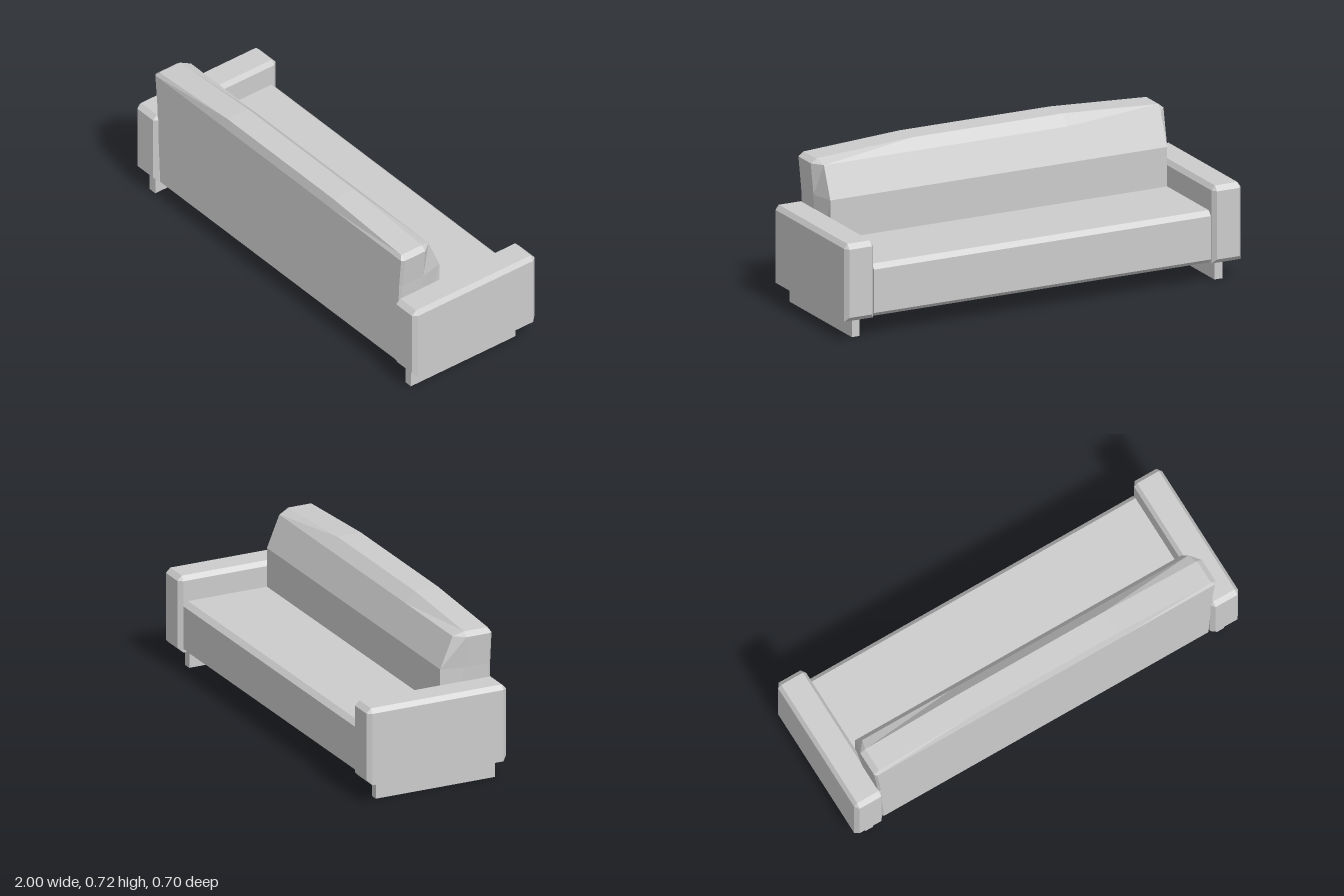
import * as THREE from 'three';
import { ConvexGeometry } from 'three/addons/geometries/ConvexGeometry.js';

const material = new THREE.MeshStandardMaterial({ color: 0xcccccc, flatShading: true });

function addMesh(parent, name, geometry) {
  const mesh = new THREE.Mesh(geometry, material);
  mesh.name = name;
  parent.add(mesh);
  return mesh;
}

// Extrudes a side profile of [z, y] points along x, centred on x = 0
function extrudeAcross(points, width) {
  const shape = new THREE.Shape(points.map(([z, y]) => new THREE.Vector2(-z, y)));
  const geometry = new THREE.ExtrudeGeometry(shape, { depth: width, bevelEnabled: false });
  return geometry.translate(0, 0, -width / 2).rotateY(Math.PI / 2);
}

// Armrest block: chamfered all round, except along the bottom of its long sides
function armGeometry() {
  const hx = 0.0725, hz = 0.35, bottom = 0.095, top = 0.458, c = 0.022, cx = 0.016;
  const points = [];
  for (const sx of [-1, 1]) {
    for (const sz of [-1, 1]) {
      for (const up of [true, false]) {
        const y = up ? top : bottom;
        const yIn = up ? top - c : bottom + c;
        points.push(
          new THREE.Vector3(sx * hx, yIn, sz * (hz - c)),
          new THREE.Vector3(sx * (up ? hx - cx : hx), y, sz * (hz - c)),
          new THREE.Vector3(sx * (hx - cx), yIn, sz * hz)
        );
      }
    }
  }
  return new ConvexGeometry(points);
}

// Backrest: stacked rings that lean back, flare sideways and close in a bowed top
function backrestGeometry() {
  const mid = 0.38;
  const ring = (w, wBack, wFront, zBack, zSide, zFront, height) => [
    [-wBack, zBack], [-mid, zBack], [mid, zBack], [wBack, zBack],
    [w, zSide], [w, 0.2],
    [wFront, zFront], [mid, zFront], [-mid, zFront], [-wFront, zFront],
    [-w, 0.2], [-w, zSide]
  ].map(([x, z]) => [x, height(x), z]);

  const rings = [
    ring(0.855, 0.845, 0.85, 0.33, 0.318, 0.088, () => 0.1),
    ring(0.876, 0.866, 0.85, 0.33, 0.318, 0.088, () => 0.525),
    ring(0.89, 0.88, 0.85, 0.33, 0.318, 0.15, () => 0.673),
    ring(0.865, 0.86, 0.86, 0.318, 0.318, 0.2, x => (Math.abs(x) > mid ? 0.693 : 0.72))
  ];
  const n = rings[0].length;
  const index = [];
  const quad = (a, b, c, d) => index.push(a, b, c, a, c, d);
  for (let r = 0; r < rings.length - 1; r++) {
    for (let i = 0; i < n; i++) {
      const j = (i + 1) % n;
      quad(r * n + i, r * n + j, (r + 1) * n + j, (r + 1) * n + i);
    }
  }
  // Top and bottom caps
  const t = (rings.length - 1) * n;
  for (const [a, b, c, d] of [[0, 1, 8, 9], [1, 2, 7, 8], [2, 3, 6, 7], [3, 4, 5, 6], [9, 10, 11, 0]]) {
    quad(t + a, t + b, t + c, t + d);
    quad(d, c, b, a);
  }
  const geometry = new THREE.BufferGeometry();
  geometry.setAttribute('position', new THREE.Float32BufferAttribute(rings.flat(2), 3));
  geometry.setIndex(index);
  const flat = geometry.toNonIndexed();
  flat.computeVertexNormals();
  return flat;
}

export function createModel() {
  const sofa = new THREE.Group();
  sofa.name = 'sofa';

  // Seat with chamfered front edges
  addMesh(sofa, 'seat', extrudeAcross([
    [0.1, 0.095], [-0.308, 0.095], [-0.33, 0.115],
    [-0.33, 0.318], [-0.308, 0.34], [0.1, 0.34]
  ], 1.7));

  addMesh(sofa, 'backrest', backrestGeometry());

  // Armrests, each on a low sled foot
  const arm = armGeometry();
  const foot = extrudeAcross([
    [0.318, 0], [0.318, 0.1], [0.263, 0.1], [0.263, 0.072],
    [-0.233, 0.072], [-0.233, 0.1], [-0.278, 0.1], [-0.278, 0]
  ], 0.04);
  for (const [side, sign] of [['left', 1], ['right', -1]]) {
    addMesh(sofa, side + 'Armrest', arm).position.x = sign * 0.9275;
    addMesh(sofa, side + 'Foot', foot).position.x = sign * 0.915;
  }
  return sofa;
}
